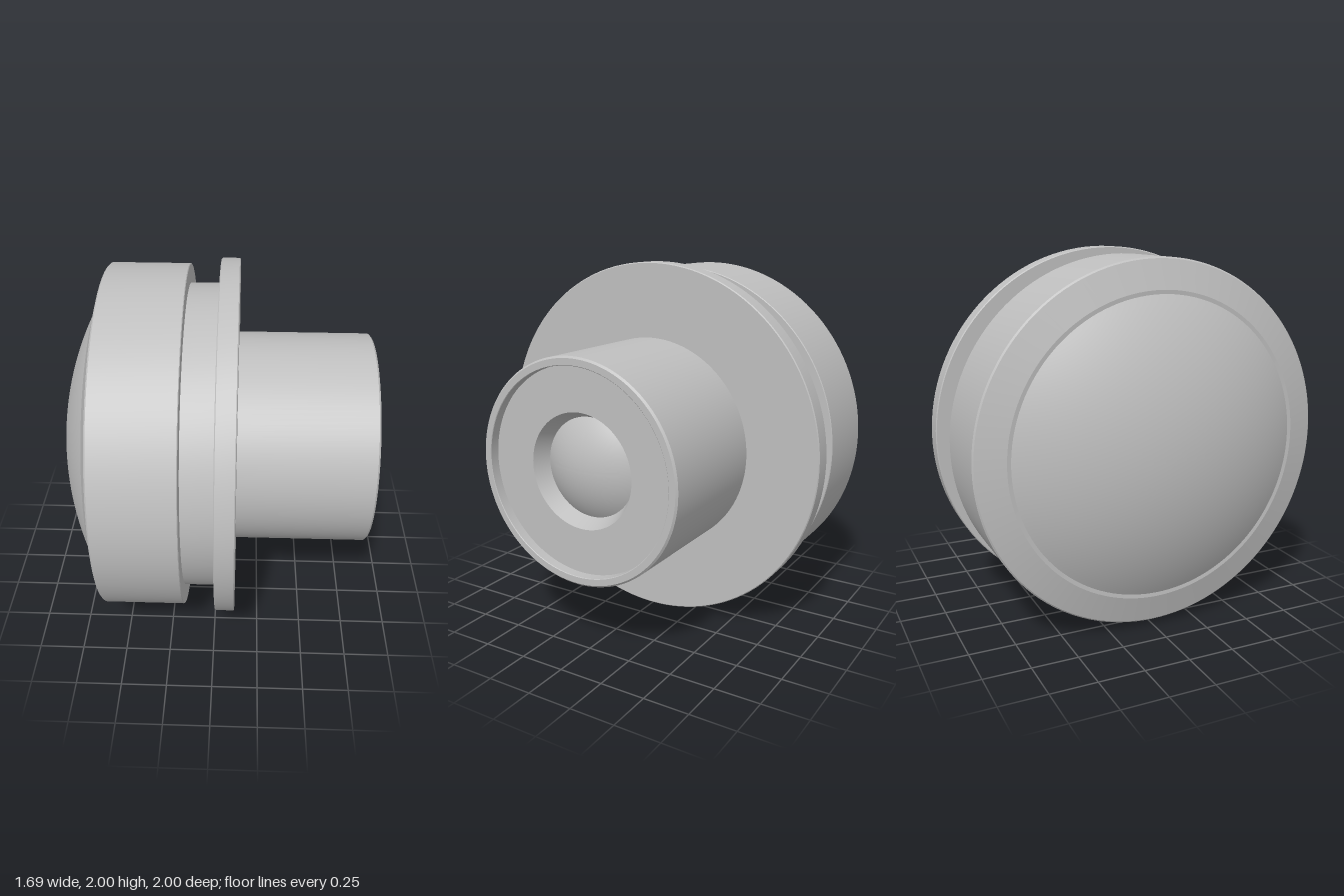
import * as THREE from 'three';
import { toCreasedNormals } from 'three/addons/utils/BufferGeometryUtils.js';

const SEGMENTS = 128;

// Points [x, radius] along an arc that bulges by `sag` towards the apex at x
function dome(apexX, radius, sag, dir, steps = 20) {
  const R = (radius * radius + sag * sag) / (2 * Math.abs(sag));
  const end = Math.asin(radius / R);
  const pts = [];
  for (let i = 0; i <= steps; i++) {
    const a = (end * i) / steps;
    pts.push([apexX + dir * R * (1 - Math.cos(a)), R * Math.sin(a)]);
  }
  return pts;
}

export function createModel() {
  const model = new THREE.Group();
  model.name = 'eyepiece';
  const grey = new THREE.MeshStandardMaterial({ color: 0xbfbfbf });
  grey.name = 'grey';

  // Turns a profile of [x, radius] points around the horizontal axis
  function turned(name, profile) {
    const points = profile.map(([x, r]) => new THREE.Vector2(Math.max(r, 0), x));
    const geometry = toCreasedNormals(new THREE.LatheGeometry(points, SEGMENTS), 0.22);
    geometry.rotateZ(-Math.PI / 2);
    geometry.translate(0, 1, 0);
    const mesh = new THREE.Mesh(geometry, grey);
    mesh.name = name;
    model.add(mesh);
  }

  // Large domed lens on the -x end
  turned('frontLens', dome(-0.848, 0.79, 0.208, 1, 28));

  // Wide housing with a sloped front rim
  turned('housing', [
    [-0.64, 0.785], [-0.642, 0.81], [-0.6, 0.96], [-0.592, 0.968],
    [-0.164, 0.968], [-0.16, 0.964], [-0.16, 0.86],
  ]);

  // Groove between housing and flange
  turned('neck', [[-0.16, 0.862], [0.01, 0.862]]);

  // Thin mounting flange
  turned('flange', [
    [0.01, 0.86], [0.01, 0.995], [0.015, 1], [0.11, 1], [0.115, 0.995], [0.115, 0.59],
  ]);

  // Rear barrel with a raised rim, recessed face and conical lens seat
  turned('barrel', [
    [0.115, 0.592], [0.835, 0.592], [0.845, 0.582], [0.845, 0.548], [0.842, 0.545],
    [0.79, 0.545], [0.79, 0.305], [0.7, 0.265],
  ]);

  // Small domed lens in the seat
  turned('rearLens', dome(0.785, 0.266, 0.085, -1).reverse());

  return model;
}
